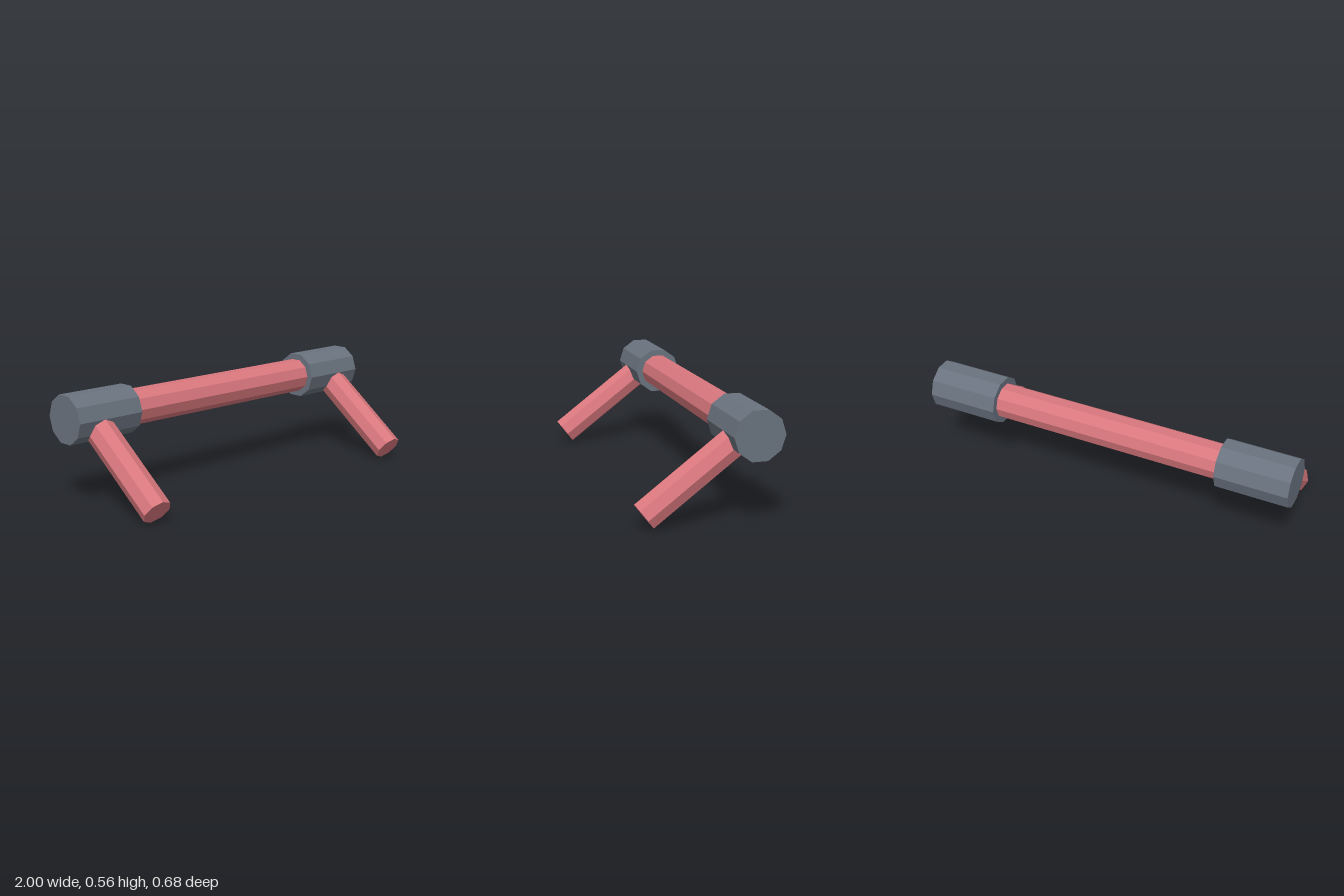
import * as THREE from 'three';

export function createModel() {
  const model = new THREE.Group();
  const red = new THREE.MeshStandardMaterial({ color: 0xd8777d, flatShading: true });
  red.name = 'soft red';
  const grey = new THREE.MeshStandardMaterial({ color: 0x69727e, flatShading: true });
  grey.name = 'slate grey';

  // Height and depth of the main axis, and of the centre of each foot
  const axisY = 0.446, axisZ = -0.214;
  const footY = 0.063, footZ = 0.296;

  // Low-poly rod with its own axis along y
  function rod(name, radius, length, sides, material) {
    const mesh = new THREE.Mesh(new THREE.CylinderGeometry(radius, radius, length, sides), material);
    mesh.name = name;
    model.add(mesh);
    return mesh;
  }

  // Crossbar, set slightly into both end collars
  const bar = rod('crossbar', 0.093, 1.3, 10, red);
  bar.rotation.z = Math.PI / 2;
  bar.position.set(0, axisY, axisZ);

  for (const [side, s] of [['left', 1], ['right', -1]]) {
    // Thick collar at the end of the bar
    const collar = rod(side + 'Collar', 0.127, 0.38, 10, grey);
    collar.rotation.z = Math.PI / 2;
    collar.position.set(s * 0.81, axisY, axisZ);

    // Slanted leg from the foot up to the collar's axis
    const dy = axisY - footY, dz = axisZ - footZ;
    const leg = rod(side + 'Leg', 0.0765, Math.hypot(dy, dz), 8, red);
    leg.rotation.x = Math.atan2(dz, dy);
    leg.position.set(s * 0.85, (axisY + footY) / 2, (axisZ + footZ) / 2);
  }
  return model;
}
